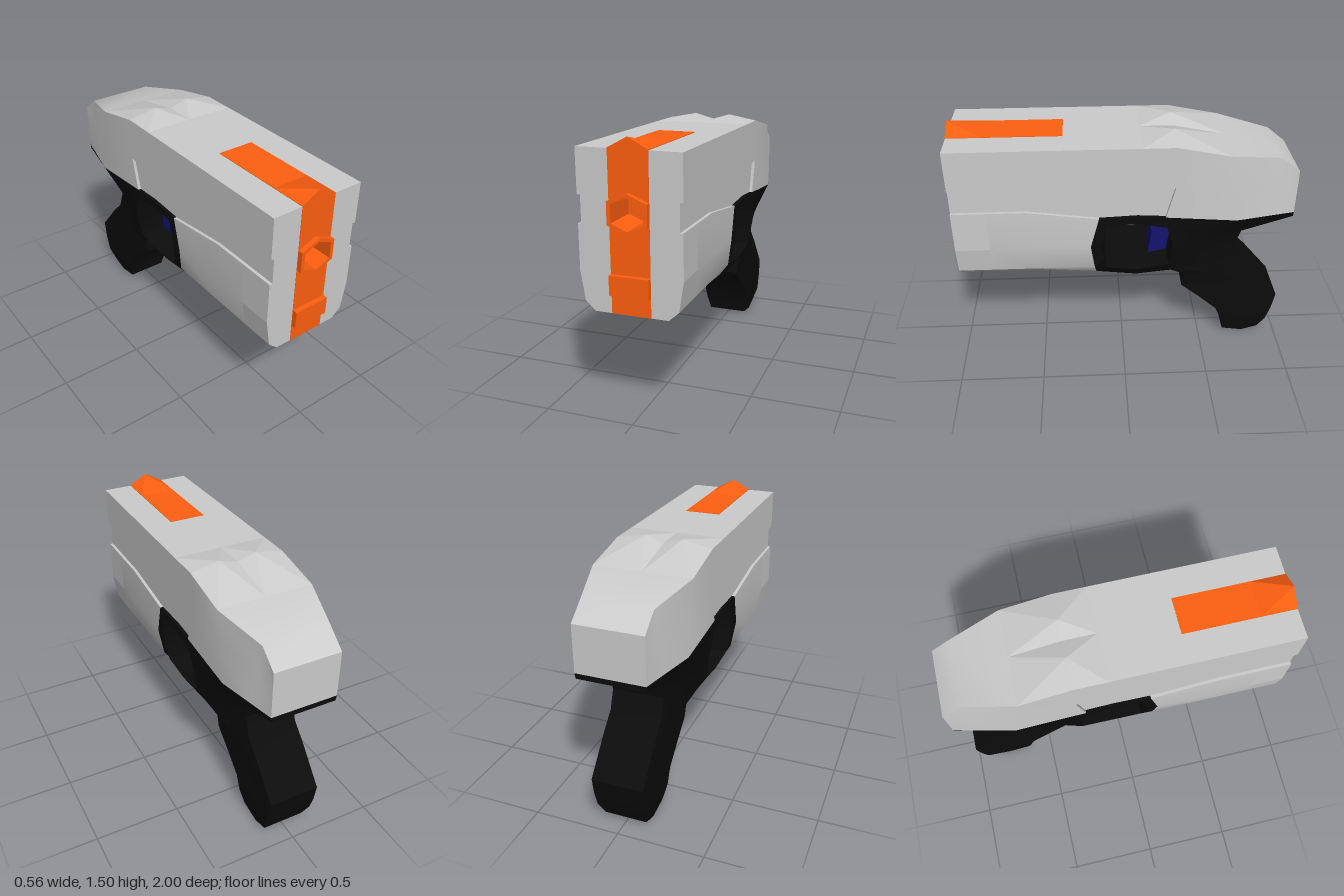
import * as THREE from 'three';
import { toCreasedNormals } from 'three/addons/utils/BufferGeometryUtils.js';
import { ConvexGeometry } from 'three/addons/geometries/ConvexGeometry.js';

const material = (color) => new THREE.MeshStandardMaterial({ color });
const grey = material(0xcccccc);
const orange = material(0xff5f10);
const black = material(0x0c0c0c);
const blue = material(0x13136f);

// Symmetric solid from a grid of [z, y, halfWidth]; rows run top to bottom, columns front to back
function shell(rows) {
  const pos = [];
  const at = ([z, y, w], s) => [s * w, y, z];
  const quad = (a, b, c, d) => pos.push(...a, ...b, ...c, ...a, ...c, ...d);
  const m = rows.length - 1, n = rows[0].length - 1;
  for (let i = 0; i < m; i++) {
    for (let j = 0; j < n; j++) {
      const a = rows[i][j], b = rows[i][j + 1], c = rows[i + 1][j + 1], d = rows[i + 1][j];
      quad(at(a, 1), at(d, 1), at(c, 1), at(b, 1));
      quad(at(b, -1), at(c, -1), at(d, -1), at(a, -1));
    }
  }
  // walls around the rim
  const rim = [
    ...rows.map((r) => r[0]),
    ...rows[m].slice(1),
    ...rows.slice(0, m).reverse().map((r) => r[n]),
    ...rows[0].slice(1, n).reverse(),
  ];
  rim.forEach((p, i) => {
    const q = rim[(i + 1) % rim.length];
    quad(at(p, 1), at(p, -1), at(q, -1), at(q, 1));
  });
  const geo = new THREE.BufferGeometry();
  geo.setAttribute('position', new THREE.Float32BufferAttribute(pos, 3));
  return toCreasedNormals(geo, 0.5);
}

// Give every point of a row the same half width
const wide = (w, points) => points.map(([z, y]) => [z, y, w]);

const vectors = (points) => points.map(([x, y]) => new THREE.Vector2(x, y));

// Upright hexagon around the bore
const hexagon = (w, h) => vectors([
  [0, h], [-w, h * 0.58], [-w, -h * 0.58], [0, -h], [w, -h * 0.58], [w, h * 0.58],
].map(([x, y]) => [x, y + 1.127]));

// Front-facing outline with optional hole, extruded from z0 to z1
function prism(outline, hole, z0, z1) {
  const shape = new THREE.Shape(outline);
  if (hole) shape.holes.push(new THREE.Path(hole));
  return new THREE.ExtrudeGeometry(shape, { depth: z1 - z0, bevelEnabled: false }).translate(0, 0, z0);
}

const rect = (w, y0, y1) => vectors([[-w, y0], [w, y0], [w, y1], [-w, y1]]);

export function createModel() {
  const model = new THREE.Group();
  const add = (name, geometry, mat) => {
    const mesh = new THREE.Mesh(geometry, mat);
    mesh.name = name;
    model.add(mesh);
  };

  // Nose block with side grooves and the bore opening
  const half = [[0.2, 0.6], [0.255, 0.65], [0.28, 0.81], [0.28, 1.055],
    [0.262, 1.055], [0.262, 1.203], [0.28, 1.203], [0.28, 1.44]];
  const noseOutline = vectors([...half, ...half.map(([x, y]) => [-x, y]).reverse()]);
  add('nose', prism(noseOutline, hexagon(0.1, 0.095), 0.77, 0.97), grey);

  // Upper housing, front and tapered rear
  add('upperHousing', shell([
    wide(0.28, [[0.77, 1.44], [0.53, 1.44], [-0.29, 1.44]]),
    wide(0.28, [[0.77, 1.203], [0.53, 1.2], [-0.29, 1.19]]),
  ]), grey);
  add('rearHousing', shell([
    [[-0.29, 1.44, 0.28], [-0.59, 1.38, 0.28], [-0.89, 1.32, 0.195], [-1, 1.23, 0.195]],
    [[-0.29, 1.19, 0.28], [-0.61, 1.19, 0.28], [-0.88, 1.19, 0.21], [-1, 1.12, 0.195]],
    [[-0.24, 1.0, 0.28], [-0.65, 0.967, 0.28], [-0.85, 0.963, 0.231], [-1, 0.96, 0.195]],
  ]), grey);

  // Recessed side panel
  add('sidePanel', shell([
    wide(0.262, [[0.77, 1.203], [0.53, 1.2], [0.14, 1.197], [-0.29, 1.19]]),
    wide(0.262, [[0.77, 1.055], [0.55, 1.055], [0.14, 1.0], [-0.24, 1.0]]),
  ]), grey);

  // Lower housing with rounded-in belly
  add('lowerHousing', shell([
    wide(0.28, [[0.77, 1.055], [0.55, 1.055], [0.14, 1.0]]),
    wide(0.28, [[0.77, 0.81], [0.52, 0.81], [0.19, 0.81]]),
    wide(0.255, [[0.77, 0.65], [0.52, 0.65], [0.17, 0.65]]),
    wide(0.2, [[0.77, 0.6], [0.52, 0.6], [0.16, 0.577]]),
  ]), grey);

  // Pair of low rear sight humps
  for (const s of [1, -1]) {
    const points = [[0.28, 1.44, -0.29], [0.11, 1.472, -0.29], [0, 1.44, -0.29], [0.28, 1.44, -0.1],
      [0, 1.44, -0.1], [0.28, 1.38, -0.59], [0, 1.38, -0.59]];
    add(s > 0 ? 'leftRearSight' : 'rightRearSight',
      new ConvexGeometry(points.map(([x, y, z]) => new THREE.Vector3(s * x, y, z))), grey);
  }

  // Orange stripe, muzzle, lower block and front sight
  add('frontStripe', prism(rect(0.107, 0.6, 1.443), hexagon(0.1, 0.095), 0.968, 0.972), orange);
  add('muzzle', prism(hexagon(0.107, 0.104), hexagon(0.086, 0.084), 0.78, 1.0), orange);
  add('boreEnd', prism(hexagon(0.1, 0.095), null, 0.771, 0.79), orange);
  add('lowerBlock', prism(rect(0.107, 0.705, 0.81), null, 0.97, 1.0), orange);
  add('topStripe', prism(rect(0.107, 1.43, 1.443), null, 0.33, 0.97), orange);
  add('frontSight', new ConvexGeometry([
    [0.107, 1.443, 0.971], [-0.107, 1.443, 0.971], [0, 1.5, 0.971], [0.107, 1.443, 0.77], [-0.107, 1.443, 0.77],
  ].map((p) => new THREE.Vector3(...p))), orange);

  // Trigger guard: outer loop and inner loop
  add('triggerGuard', shell([
    [[0.14, 1, 0.28], [-0.08, 1.01, 0.28], [-0.24, 1, 0.28], [-0.3, 0.8, 0.27], [-0.29, 0.57, 0.2],
      [-0.08, 0.54, 0.19], [0.16, 0.577, 0.2], [0.17, 0.65, 0.255], [0.19, 0.81, 0.28], [0.14, 1, 0.28]],
    [[0.09, 0.96, 0.28], [-0.08, 0.96, 0.28], [-0.25, 0.93, 0.28], [-0.29, 0.8, 0.27], [-0.27, 0.65, 0.25],
      [-0.08, 0.61, 0.24], [0.1, 0.64, 0.25], [0.11, 0.7, 0.26], [0.13, 0.81, 0.28], [0.09, 0.96, 0.28]],
  ]), black);

  // Grip flowing down from the rear housing
  add('grip', shell([
    [[-0.24, 1.0, 0.28], [-0.65, 0.967, 0.28], [-1, 0.96, 0.195]],
    [[-0.25, 0.93, 0.28], [-0.66, 0.93, 0.26], [-1, 0.93, 0.19]],
    [[-0.29, 0.8, 0.27], [-0.5, 0.81, 0.23], [-0.71, 0.815, 0.16]],
    [[-0.27, 0.65, 0.25], [-0.46, 0.7, 0.2], [-0.68, 0.71, 0.15]],
    [[-0.29, 0.57, 0.2], [-0.5, 0.6, 0.17], [-0.72, 0.6, 0.15]],
    [[-0.38, 0.51, 0.165], [-0.58, 0.51, 0.16], [-0.81, 0.51, 0.15]],
    wide(0.15, [[-0.37, 0.41], [-0.62, 0.41], [-0.895, 0.41]]),
    wide(0.15, [[-0.49, 0.31], [-0.72, 0.31], [-0.98, 0.31]]),
    wide(0.15, [[-0.6, 0.21], [-0.77, 0.2], [-0.96, 0.2]]),
    wide(0.15, [[-0.64, 0.12], [-0.78, 0.11], [-0.93, 0.11]]),
    wide(0.125, [[-0.66, 0.02], [-0.79, 0], [-0.89, 0.03]]),
  ]), black);

  // Trigger
  add('trigger', shell([
    wide(0.09, [[-0.13, 0.945], [-0.26, 0.945]]),
    wide(0.09, [[-0.18, 0.78], [-0.3, 0.79]]),
    wide(0.09, [[-0.16, 0.625], [-0.29, 0.625]]),
  ]), blue);

  return model;
}
